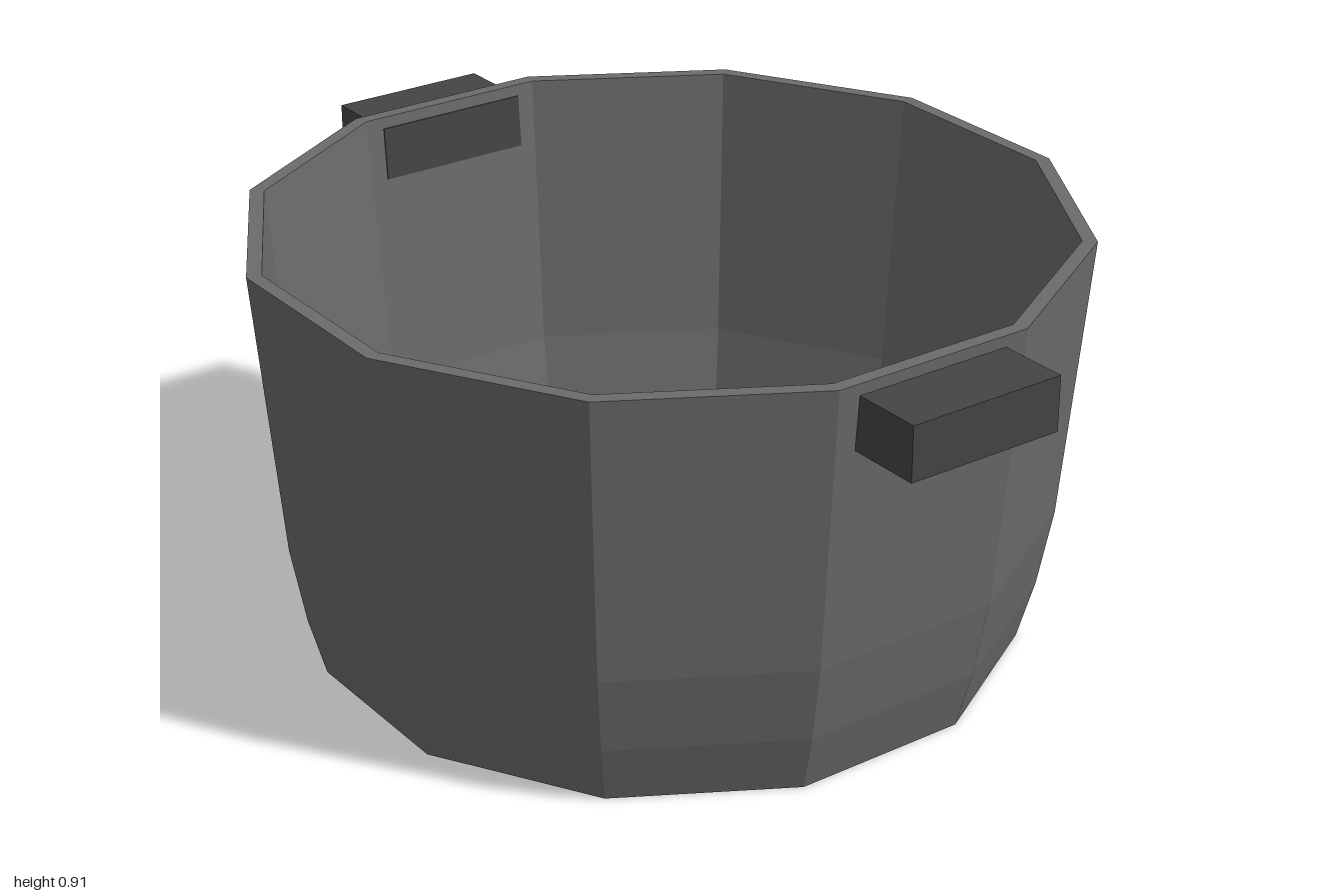
import * as THREE from 'three';

const SIDES = 12;

// Closed wall profile: underside, outer wall, rim, inner wall, floor
const PROFILE = [
  [0, 0], [0.75, 0], [0.785, 0.13], [0.815, 0.3], [0.866, 0.91],
  [0.835, 0.91], [0.785, 0.3], [0.755, 0.14], [0.72, 0.03], [0, 0.03],
].map(([r, y]) => new THREE.Vector2(r, y));

// Block handle lying along +x, its inner end leaning with the pot wall
function handleGeometry() {
  const inner = 0.797, outer = 0.984;
  const geometry = new THREE.BoxGeometry(outer - inner, 0.115, 0.35);
  geometry.translate((inner + outer) / 2, 0.8275, 0);
  const p = geometry.attributes.position;
  for (let i = 0; i < p.count; i++) {
    if (p.getX(i) < 0.9) p.setX(i, p.getY(i) > 0.83 ? 0.802 : 0.793);
  }
  geometry.computeVertexNormals();
  return geometry;
}

export function createModel() {
  const model = new THREE.Group();
  model.name = 'cookingPot';

  const potMaterial = new THREE.MeshStandardMaterial({ color: 0x6b6b6b, flatShading: true });
  const handleMaterial = new THREE.MeshStandardMaterial({ color: 0x444444, flatShading: true });

  // Twelve-sided hollow body
  const body = new THREE.Mesh(new THREE.LatheGeometry(PROFILE, SIDES), potMaterial);
  body.name = 'potBody';
  model.add(body);

  // Two opposite handles, each centred on a flat side
  const geometry = handleGeometry();
  ['leftHandle', 'rightHandle'].forEach((name, i) => {
    const handle = new THREE.Mesh(geometry, handleMaterial);
    handle.name = name;
    handle.rotation.y = -Math.PI / SIDES + i * Math.PI;
    model.add(handle);
  });

  return model;
}
